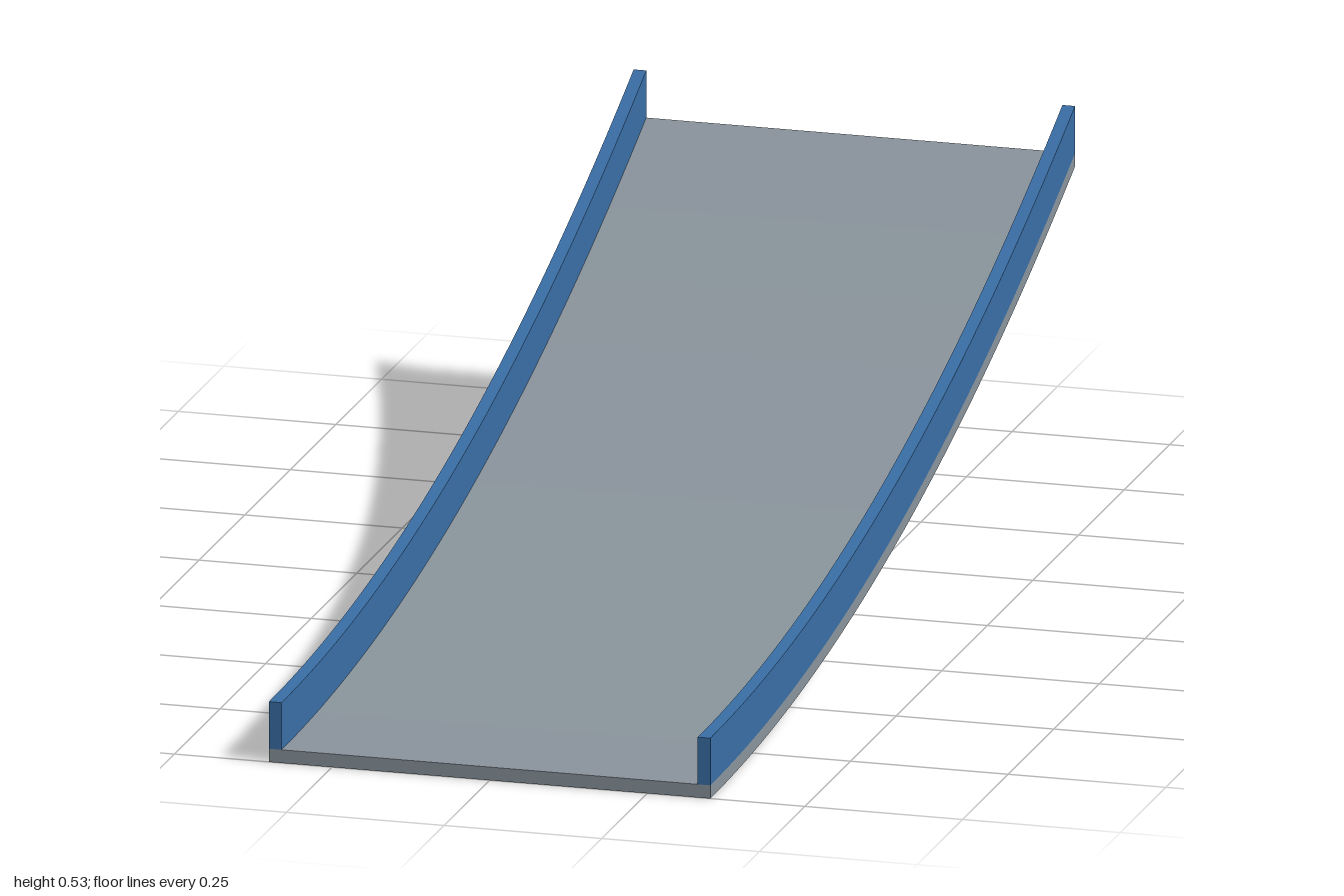
import * as THREE from 'three';

const LENGTH = 2, RISE = 0.43, SEGMENTS = 48;

// Height of the ramp's underside: level at the front, rising as a parabola to the back
const rampHeight = (z) => RISE * ((1 - z) / 2) ** 2;

// A box running the full length, its cross-sections lifted to follow the ramp
function curvedStrip(name, width, height, x, base, color) {
  const geometry = new THREE.BoxGeometry(width, height, LENGTH, 1, 1, SEGMENTS);
  geometry.translate(x, base + height / 2, 0);
  const pos = geometry.attributes.position;
  for (let i = 0; i < pos.count; i++) {
    pos.setY(i, pos.getY(i) + rampHeight(pos.getZ(i)));
  }
  geometry.computeVertexNormals();
  const mesh = new THREE.Mesh(geometry, new THREE.MeshStandardMaterial({ color }));
  mesh.name = name;
  return mesh;
}

export function createModel() {
  const group = new THREE.Group();
  group.name = 'curvedRamp';

  // Thin deck across the full width
  const thickness = 0.021;
  group.add(curvedStrip('deck', 0.7, thickness, 0, 0, 0x8a949c));

  // Side rails standing on the deck's edges
  for (const [name, side] of [['leftRail', 1], ['rightRail', -1]]) {
    group.add(curvedStrip(name, 0.02, 0.075, side * 0.34, thickness, 0x3a6ea5));
  }
  return group;
}
